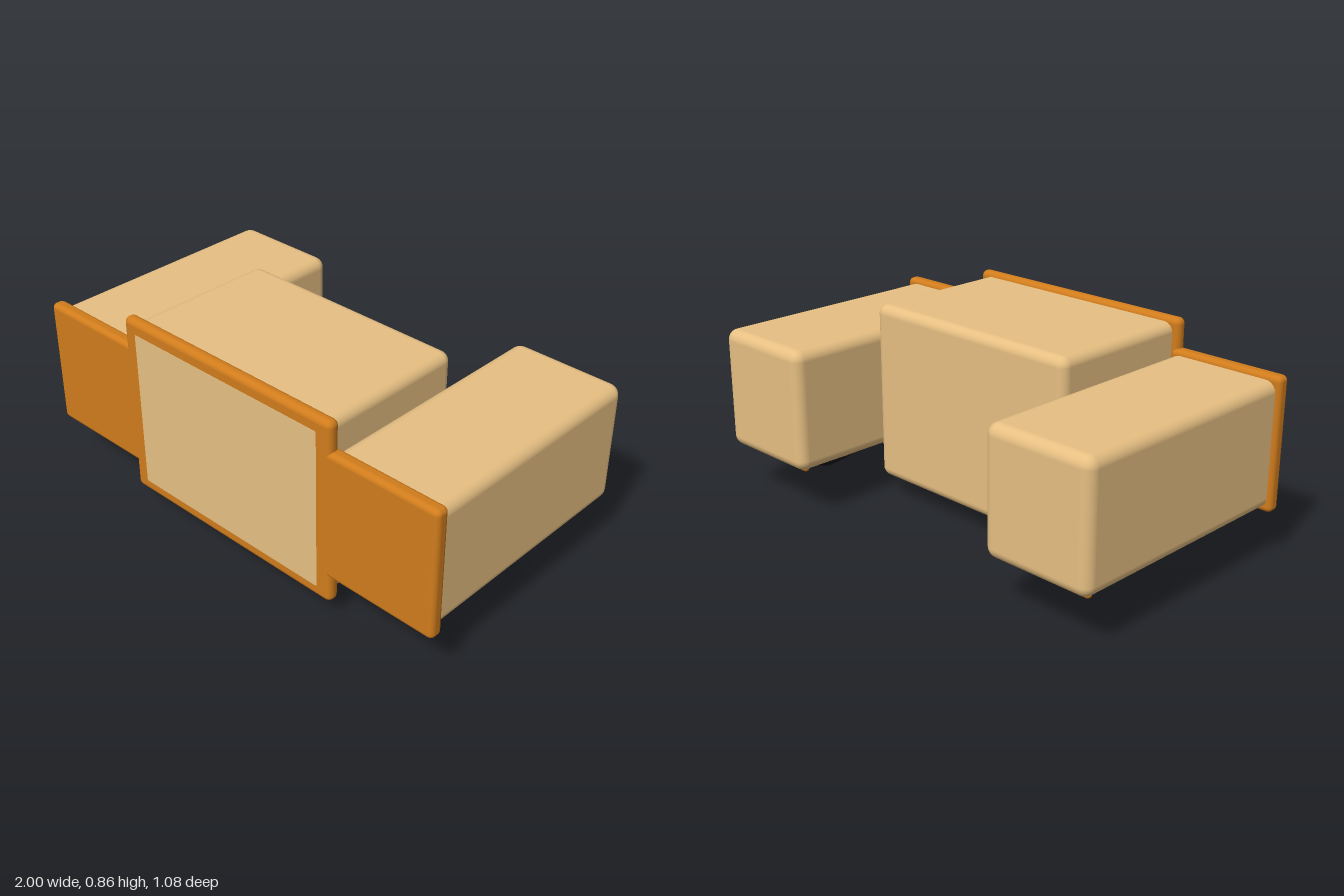
import * as THREE from 'three';
import { RoundedBoxGeometry } from 'three/addons/geometries/RoundedBoxGeometry.js';

const paint = (color) => new THREE.MeshStandardMaterial({ color });

export function createModel() {
  const model = new THREE.Group();
  const tan = paint(0xe6bf82), orange = paint(0xd07c1c), black = paint(0x17151b);
  const cream = paint(0xd8d0c2), navy = paint(0x12242e), red = paint(0xe8626c), teal = paint(0x3fb8a8);

  const add = (name, geometry, material, x = 0, y = 0, z = 0) => {
    const mesh = new THREE.Mesh(geometry, material);
    mesh.name = name;
    mesh.position.set(x, y, z);
    model.add(mesh);
    return mesh;
  };
  // Rounded box given by its [min, max] on each axis
  const box = (name, [x0, x1], [y0, y1], [z0, z1], radius, material) =>
    add(name, new RoundedBoxGeometry(x1 - x0, y1 - y0, z1 - z0, 4, radius), material,
      (x0 + x1) / 2, (y0 + y1) / 2, (z0 + z1) / 2);
  // Disc with rounded rims, standing on y0
  const disc = (name, r, y0, y1, bevel, material, x, z) => {
    const h = y1 - y0, points = [new THREE.Vector2(0, 0)];
    for (let i = 0; i <= 4; i++) {
      const a = (i / 4) * Math.PI / 2;
      points.push(new THREE.Vector2(r - bevel + bevel * Math.sin(a), bevel - bevel * Math.cos(a)));
    }
    for (let i = 0; i <= 4; i++) {
      const a = (i / 4) * Math.PI / 2;
      points.push(new THREE.Vector2(r - bevel + bevel * Math.cos(a), h - bevel + bevel * Math.sin(a)));
    }
    points.push(new THREE.Vector2(0, h));
    return add(name, new THREE.LatheGeometry(points, 40), material, x, y0, z);
  };

  // Central cabinet, its frame and the control plate underneath
  box('centralCabinet', [-0.505, 0.505], [0.092, 0.835], [-0.135, 0.5425], 0.04, tan);
  box('centralFrame', [-0.533, 0.533], [0.079, 0.855], [0.488, 0.542], 0.025, orange);
  box('controlPlate', [-0.465, 0.465], [0.067, 0.11], [-0.082, 0.422], 0.02, cream);

  // Display with four level bars of falling length
  box('display', [-0.245, 0.245], [0.053, 0.08], [-0.033, 0.134], 0.01, navy);
  [0.125, 0.105, 0.075, 0.045].forEach((length, i) => {
    const x = 0.155 - i * 0.103;
    box('levelBar', [x - 0.023, x + 0.023], [0.04, 0.06], [0.05 - length / 2, 0.05 + length / 2],
      0.005, i % 2 ? teal : red);
  });

  // Button cluster: one broad pad and four small buttons
  add('buttonPad', new THREE.SphereGeometry(0.036, 24, 16), orange, 0, 0.05, 0.32).scale.y = 0.65;
  [[-0.044, 0.293], [-0.017, 0.272], [0.017, 0.272], [0.044, 0.293]].forEach(([x, z]) => {
    add('smallButton', new THREE.SphereGeometry(0.017, 16, 12), orange, x, 0.05, z);
  });

  for (const side of [-1, 1]) {
    // Knob with pointer
    disc('knob', 0.064, 0.015, 0.063, 0.014, orange, side * 0.29, 0.306);
    add('knobStem', new THREE.CylinderGeometry(0.04, 0.04, 0.03, 24), orange, side * 0.29, 0.065, 0.306);
    add('knobPointer', new THREE.BoxGeometry(0.016, 0.022, 0.05), cream, side * 0.29, 0.011, 0.265);

    // Speaker cabinet and its face panel
    const span = (a, b) => (side > 0 ? [a, b] : [-b, -a]);
    box('speakerCabinet', span(0.507, 0.982), [0.212, 0.716], [-0.541, 0.525], 0.045, tan);
    box('speakerPanel', span(0.5, 1), [0.196, 0.736], [0.482, 0.541], 0.022, orange);

    // Large and small speakers: ring and protruding cone
    [[0.148, 0.125, 0.046, -0.238], [0.104, 0.091, 0.037, 0.168]].forEach(([rim, cone, tip, z]) => {
      disc('speakerRing', rim, 0.174, 0.222, 0.012, orange, side * 0.748, z);
      const profile = [[0, 0.109], [tip, 0.109], [cone * 0.95, 0.155], [cone, 0.168], [cone, 0.185]];
      add('speakerCone', new THREE.LatheGeometry(profile.map(([r, y]) => new THREE.Vector2(r, y)), 32),
        black, side * 0.748, 0, z);
    });

    // Rail along the back of the cabinet's underside
    const rail = add('rail', new THREE.CapsuleGeometry(0.015, 0.36, 6, 16), orange, side * 0.75, 0.204, -0.473);
    rail.rotation.z = Math.PI / 2;
  }
  return model;
}
